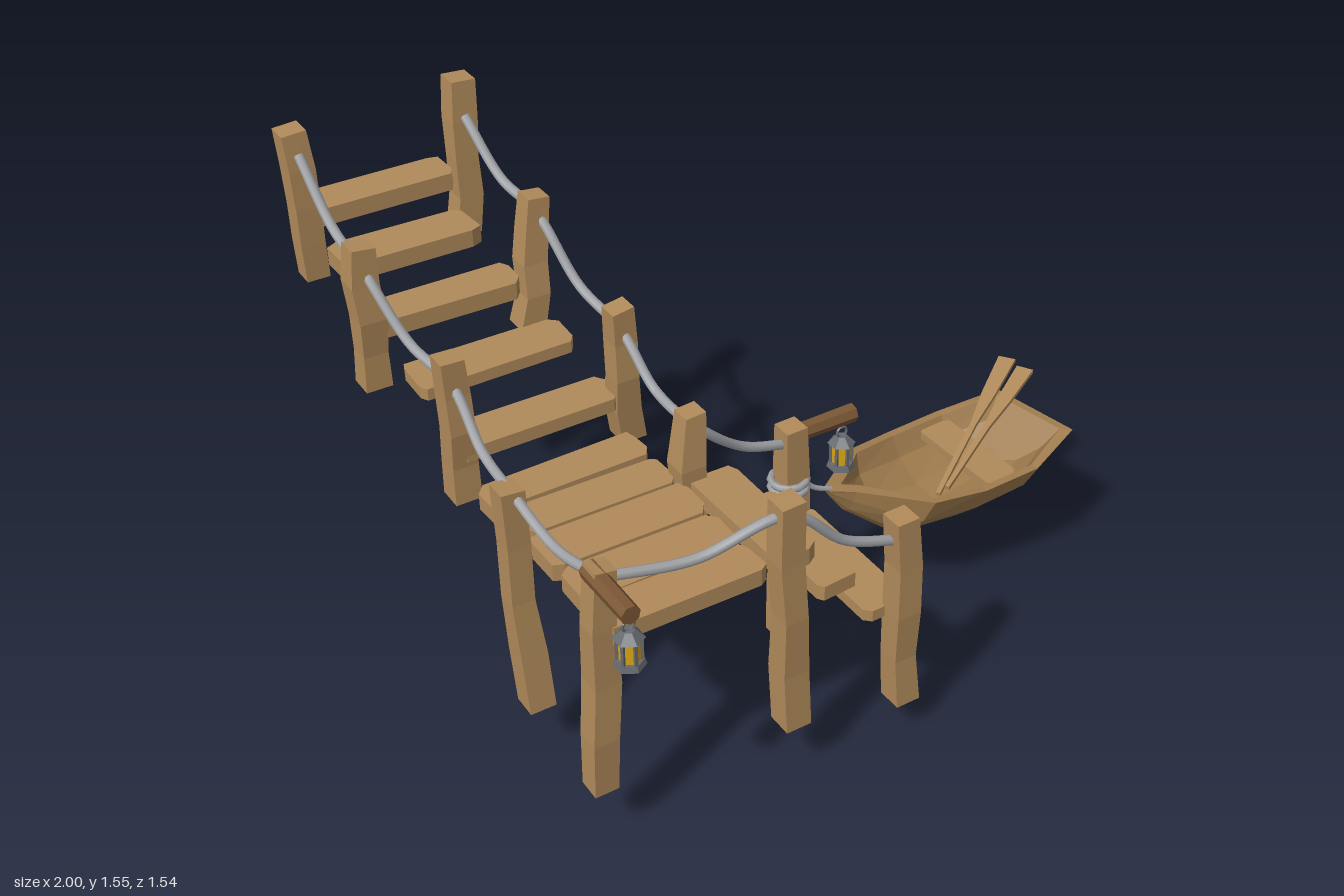
import * as THREE from 'three';

const mat = (color, opts = {}) => new THREE.MeshStandardMaterial({ color, flatShading: true, ...opts });
const wood = mat(0xb08a5a);
const hullWood = mat(0xa07c4e, { side: THREE.DoubleSide });
const darkWood = mat(0x7a5634);
const metal = mat(0x66696e);
const glass = mat(0xd9a514);
const ropeMat = new THREE.MeshStandardMaterial({ color: 0xa0a2a6 });
const V = (x, y, z) => new THREE.Vector3(x, y, z);

let seed = 7;
const jitter = (a) => {
  seed = (seed * 16807) % 2147483647;
  return (seed / 2147483647 - 0.5) * 2 * a;
};

function add(parent, name, geometry, material, x = 0, y = 0, z = 0) {
  const mesh = new THREE.Mesh(geometry, material);
  mesh.name = name;
  mesh.position.set(x, y, z);
  parent.add(mesh);
  return mesh;
}

// Hand-hewn post: a box leaning from foot to head, with uneven thickness per level
function post(parent, [xt, zt, yb, yt, xb = xt, zb = zt]) {
  const n = 4, h = yt - yb, geo = new THREE.BoxGeometry(1, h, 1, 1, n, 1);
  const levels = Array.from({ length: n + 1 }, (_, i) => ({
    w: (i === n ? 0.064 : 0.071) + jitter(0.006),
    dx: jitter(0.008), dz: jitter(0.008), tilt: i === n ? jitter(0.012) : 0,
  }));
  const p = geo.attributes.position;
  for (let i = 0; i < p.count; i++) {
    const t = p.getY(i) / h + 0.5, l = levels[Math.round(t * n)];
    p.setXYZ(i,
      xb + (xt - xb) * t + p.getX(i) * l.w + l.dx,
      yb + t * h + p.getX(i) * l.tilt,
      zb + (zt - zb) * t + p.getZ(i) * l.w + l.dz);
  }
  geo.computeVertexNormals();
  add(parent, 'post', geo, wood);
}

// Plank with chipped corners and a slight dip, long side along x or z
function plank(parent, x0, x1, z0, z1, y, thick = 0.05) {
  const w = (x1 - x0) / 2, d = (z1 - z0) / 2, pts = [];
  const alongX = w > d;
  for (const [sx, sz] of [[1, 1], [-1, 1], [-1, -1], [1, -1]]) {
    const c = 0.018 + jitter(0.012), e = 0.022 + jitter(0.012);
    const a = [sx * (w - c), sz * (d - jitter(0.004))], b = [sx * (w - jitter(0.004)), sz * (d - e)];
    pts.push(...(sx * sz > 0 ? [b, a] : [a, b]));
  }
  const shape = new THREE.Shape(pts.map(([a, b]) => new THREE.Vector2(a, b)));
  const geo = new THREE.ExtrudeGeometry(shape, { depth: thick, bevelEnabled: false });
  geo.translate(0, 0, -thick / 2).rotateX(Math.PI / 2);
  const m = add(parent, 'plank', geo, wood, (x0 + x1) / 2, y, (z0 + z1) / 2);
  m.rotation[alongX ? 'z' : 'x'] = jitter(0.012);
}

// Rope through a list of anchors, hanging between each pair
function rope(parent, name, anchors, sag, radius = 0.014) {
  const pts = [];
  anchors.forEach((a, i) => {
    if (i) {
      const mid = anchors[i - 1].clone().lerp(a, 0.5);
      mid.y -= sag;
      pts.push(mid);
    }
    pts.push(a);
  });
  const curve = new THREE.CatmullRomCurve3(pts.filter((_, i) => i < pts.length), false, 'centripetal');
  add(parent, name, new THREE.TubeGeometry(curve, pts.length * 8, radius, 8), ropeMat);
}

function lantern(x, y, z) {
  const g = new THREE.Group();
  g.name = 'lantern';
  add(g, 'lanternBase', new THREE.CylinderGeometry(0.036, 0.041, 0.016, 6), metal, 0, 0.008, 0);
  add(g, 'lanternGlass', new THREE.CylinderGeometry(0.027, 0.027, 0.07, 6), glass, 0, 0.048, 0);
  add(g, 'lanternRoof', new THREE.CylinderGeometry(0.016, 0.04, 0.024, 6), metal, 0, 0.092, 0);
  for (let i = 0; i < 6; i++) {
    const a = (i * Math.PI) / 3;
    add(g, 'lanternBar', new THREE.BoxGeometry(0.008, 0.072, 0.008), metal,
      Math.sin(a) * 0.03, 0.048, Math.cos(a) * 0.03).rotation.y = a;
  }
  add(g, 'lanternHook', new THREE.TorusGeometry(0.016, 0.004, 5, 12), metal, 0, 0.116, 0);
  g.position.set(x, y, z);
  return g;
}

// Open shell from cross-sections [x, half width, rim y, keel y, keel x, centre z]
const ARC = [[-1, 0], [-0.82, 0.45], [-0.42, 0.86], [0, 1], [0.42, 0.86], [0.82, 0.45], [1, 0]];
const rings = (sections) => sections.map(([x, hw, ry, ky, kx, zc]) => ARC.map(([s, d]) =>
  V(x + (kx - x) * d + s * hw * 0.18, ry + (ky - ry) * d, zc + s * hw)));

function boat() {
  const g = new THREE.Group();
  g.name = 'boat';
  const sections = [
    [0.158, 0.012, 0.443, 0.42, 0.165, 0.152],
    [0.215, 0.05, 0.44, 0.35, 0.215, 0.155],
    [0.36, 0.172, 0.43, 0.256, 0.335, 0.185],
    [0.53, 0.195, 0.412, 0.233, 0.53, 0.176],
    [0.72, 0.197, 0.412, 0.245, 0.7, 0.168],
    [0.91, 0.145, 0.447, 0.268, 0.81, 0.16],
  ];
  const outer = rings(sections);
  const inner = rings(sections.map(([x, hw, ry, ky, kx, zc], i) => {
    const dx = [0.05, 0.03, 0.01, 0, 0, -0.025][i];
    return [x + dx, Math.max(hw - 0.024, 0.004), ry, Math.min(ky + 0.04, ry - 0.005), kx + dx, zc];
  }));
  const v = [];
  const tri = (...p) => p.forEach((q) => v.push(q.x, q.y, q.z));
  const quad = (a, b, c, d) => { tri(a, b, c); tri(a, c, d); };
  for (const [shell, flip] of [[outer, false], [inner, true]]) {
    const face = (a, b, c, d) => (flip ? quad(d, c, b, a) : quad(a, b, c, d));
    for (let i = 0; i < shell.length - 1; i++)
      for (let j = 0; j < ARC.length - 1; j++)
        face(shell[i][j], shell[i + 1][j], shell[i + 1][j + 1], shell[i][j + 1]);
    const s = shell[shell.length - 1];
    for (let j = 1; j < ARC.length - 1; j++) flip ? tri(s[0], s[j], s[j + 1]) : tri(s[0], s[j + 1], s[j]);
  }
  // Rim: right side to the stern, then back along the left side
  const rim = (shell) => [...shell.map((r) => r[0]), ...shell.map((r) => r[6]).reverse()];
  const ro = rim(outer), ri = rim(inner);
  ro.forEach((p, i) => {
    const k = (i + 1) % ro.length;
    quad(p, ri[i], ri[k], ro[k]);
  });
  const geo = new THREE.BufferGeometry();
  geo.setAttribute('position', new THREE.Float32BufferAttribute(v, 3));
  geo.computeVertexNormals();
  add(g, 'hull', geo, hullWood);

  // Thwart
  plank(g, 0.6, 0.71, 0.0, 0.335, 0.385, 0.025);

  // Oars: thin shafts widening into blades past the stern
  for (const [a, b] of [[V(0.46, 0.385, 0.28), V(0.975, 0.487, -0.055)], [V(0.5, 0.385, 0.27), V(0.985, 0.487, 0.02)]]) {
    const len = a.distanceTo(b);
    const shape = new THREE.Shape([[0, -0.007], [len * 0.5, -0.009], [len * 0.72, -0.022], [len, -0.027],
      [len, 0.027], [len * 0.72, 0.02], [len * 0.5, 0.009], [0, 0.007]].map(([x, y]) => new THREE.Vector2(x, y)));
    const oarGeo = new THREE.ExtrudeGeometry(shape, { depth: 0.012, bevelEnabled: false });
    oarGeo.translate(0, 0, -0.006).rotateX(Math.PI / 2);
    const oar = add(g, 'oar', oarGeo, wood, a.x, a.y, a.z);
    oar.quaternion.setFromUnitVectors(V(1, 0, 0), b.clone().sub(a).normalize());
  }
  return g;
}

export function createModel() {
  const model = new THREE.Group();
  model.name = 'dockWithBoat';

  // Posts: head x, head z, foot y, head y, foot x, foot z
  const posts = new THREE.Group();
  posts.name = 'posts';
  [
    [-0.965, -0.69, 1.09, 1.52, -0.965, -0.68], [-0.495, -0.69, 1.1, 1.55, -0.51, -0.68],
    [-0.93, -0.39, 0.89, 1.31], [-0.43, -0.4, 0.94, 1.31, -0.475, -0.375],
    [-0.84, -0.095, 0.66, 1.1, -0.83, -0.115], [-0.355, -0.09, 0.66, 1.09, -0.33, -0.115],
    [-0.84, 0.195, 0.18, 0.88, -0.825, 0.22], [-0.31, 0.18, 0.285, 0.9, -0.33, 0.2],
    [-0.8, 0.585, 0.18, 0.88, -0.82, 0.59], [-0.315, 0.655, 0.18, 0.915, -0.295, 0.64],
    [0.03, 0.165, 0, 0.72, 0.01, 0.16], [0.03, 0.675, 0.115, 0.74, 0.045, 0.67],
  ].forEach((p) => post(posts, p));

  // Planks of the upper stairs, the landing and the steps down to the water
  const planks = new THREE.Group();
  planks.name = 'planks';
  [
    [-0.95, -0.54, -0.77, -0.65, 1.27], [-0.94, -0.55, -0.615, -0.485, 1.18],
    [-0.9, -0.5, -0.47, -0.35, 1.065], [-0.87, -0.42, -0.345, -0.205, 0.935, 0.035],
    [-0.84, -0.36, -0.2, -0.07, 0.805, 0.04],
    [-0.82, -0.35, -0.06, 0.06, 0.685], [-0.79, -0.35, 0.07, 0.197, 0.682],
    [-0.8, -0.35, 0.207, 0.35, 0.685], [-0.8, -0.35, 0.36, 0.5, 0.682], [-0.8, -0.35, 0.51, 0.63, 0.685],
    [-0.33, -0.2, 0.21, 0.63, 0.685], [-0.195, -0.07, 0.22, 0.63, 0.55, 0.045], [-0.06, 0.08, 0.19, 0.65, 0.42, 0.035],
  ].forEach((p) => plank(planks, ...p));

  // Handrail ropes
  rope(model, 'outerRope', [V(-0.965, 1.46, -0.655), V(-0.93, 1.24, -0.38), V(-0.84, 1.02, -0.09),
    V(-0.83, 0.86, 0.2), V(-0.79, 0.835, 0.58)], 0.045);
  rope(model, 'frontRope', [V(-0.79, 0.835, 0.58), V(-0.315, 0.87, 0.655), V(0.03, 0.66, 0.67)], 0.04);
  rope(model, 'innerRope', [V(-0.495, 1.45, -0.655), V(-0.43, 1.26, -0.39), V(-0.35, 1.02, -0.09),
    V(-0.31, 0.87, 0.18), V(0.03, 0.66, 0.165)], 0.045);

  // Mooring line and its coils around the post
  for (const y of [0.515, 0.54]) {
    const coil = add(model, 'mooringCoil', new THREE.TorusGeometry(0.051, 0.011, 6, 12), ropeMat, 0.022, y, 0.16);
    coil.rotation.x = Math.PI / 2;
  }
  rope(model, 'mooringLine', [V(0.06, 0.53, 0.14), V(0.17, 0.442, 0.155)], 0.02, 0.008);

  // Lantern arms and lanterns
  const arm = (len) => new THREE.CylinderGeometry(0.026, 0.028, len, 7);
  add(model, 'frontLanternArm', arm(0.2), darkWood, -0.81, 0.856, 0.66).rotation.x = Math.PI / 2;
  add(model, 'sideLanternArm', arm(0.2), darkWood, 0.13, 0.69, 0.165).rotation.z = Math.PI / 2;
  model.add(posts, planks, boat(), lantern(-0.805, 0.69, 0.735), lantern(0.195, 0.52, 0.165));
  return model;
}
